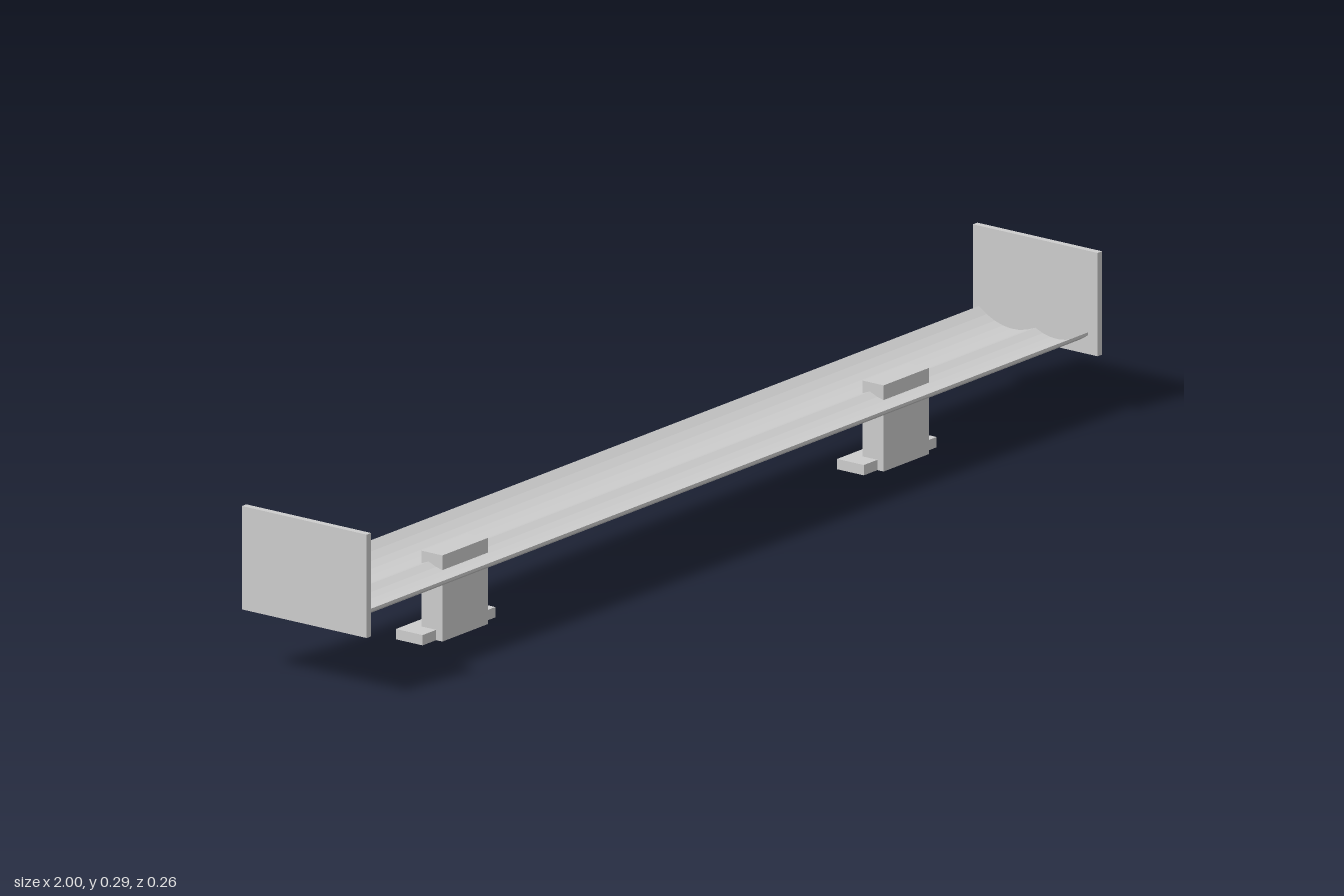
import * as THREE from 'three';

export function createModel() {
  const model = new THREE.Group();
  model.name = 'rearWing';
  const grey = new THREE.MeshStandardMaterial({ color: 0xcccccc });
  grey.name = 'light grey';

  const add = (name, geometry, parent = model) => {
    const mesh = new THREE.Mesh(geometry, grey);
    mesh.name = name;
    parent.add(mesh);
    return mesh;
  };
  // box given by its limits on each axis
  const box = (name, x0, x1, y0, y1, z0, z1, parent) =>
    add(name, new THREE.BoxGeometry(x1 - x0, y1 - y0, z1 - z0), parent)
      .position.set((x0 + x1) / 2, (y0 + y1) / 2, (z0 + z1) / 2);

  // blade: two troughs side by side meeting in a low ridge
  const steps = 7;
  const top = [];
  const trough = (z0, y0, z1, y1, sag, first) => {
    for (let i = first; i <= steps; i++) {
      const t = i / steps;
      top.push(new THREE.Vector2(
        THREE.MathUtils.lerp(z0, z1, t),
        THREE.MathUtils.lerp(y0, y1, t) - sag * 4 * t * (1 - t)));
    }
  };
  trough(-0.119, 0.149, 0, 0.134, 0.018, 0);
  trough(0, 0.134, 0.111, 0.147, 0.017, 1);
  const thickness = 0.005;
  const under = top.map(p => new THREE.Vector2(p.x, p.y - thickness)).reverse();
  const length = 1.976;
  const blade = new THREE.ExtrudeGeometry(new THREE.Shape([...top, ...under]),
    { depth: length, bevelEnabled: false });
  blade.translate(0, 0, -length / 2).rotateY(-Math.PI / 2);
  add('blade', blade);

  for (const side of [-1, 1]) {
    const label = side > 0 ? 'left' : 'right';
    // upright plate closing the end of the blade
    box(label + 'EndPlate', side * 0.994 - 0.006, side * 0.994 + 0.006,
      0.109, 0.289, -0.131, 0.131);

    // mount: post through the blade, standing on a flat foot
    const mount = new THREE.Group();
    mount.name = label + 'Mount';
    mount.position.x = side * 0.6;
    model.add(mount);
    box('post', -0.062, 0.062, 0, 0.15, -0.015, 0.029, mount);
    box('foot', -0.099, 0.099, 0, 0.018, -0.04, 0.016, mount);
  }
  return model;
}
